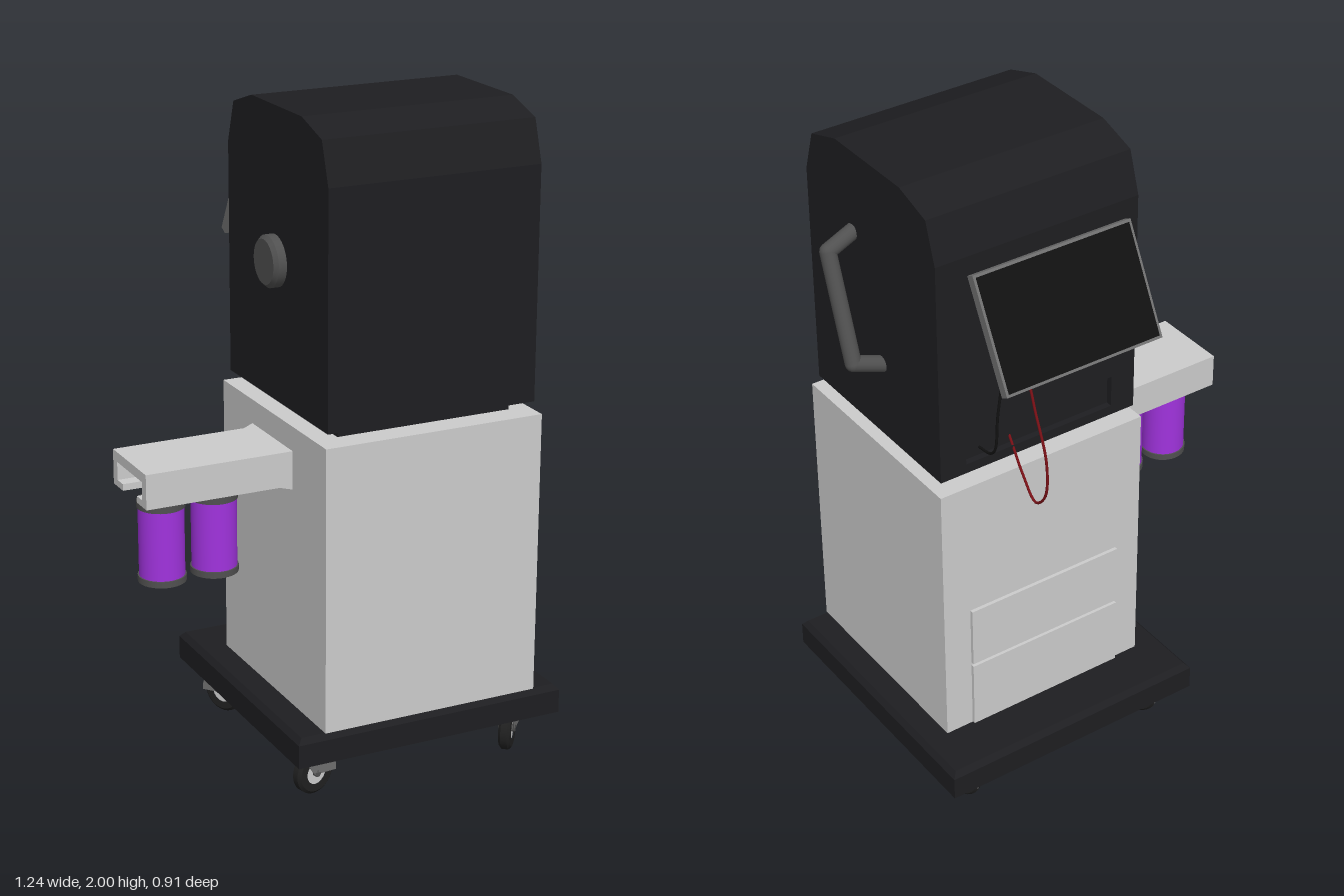
import * as THREE from 'three';

const mat = (color) => new THREE.MeshStandardMaterial({ color });
const BLACK = mat(0x1e1e21), SCREEN = mat(0x111111), DARK = mat(0x505050), FRAME = mat(0x707070);
const GREY = mat(0xcccccc), PURPLE = mat(0xa033dd), RED = mat(0x7a1016), TYRE = mat(0x202020);

function add(parent, name, geometry, material, x = 0, y = 0, z = 0) {
  const mesh = new THREE.Mesh(geometry, material);
  mesh.name = name;
  mesh.position.set(x, y, z);
  parent.add(mesh);
  return mesh;
}

// Box given by its limits on each axis
function block(parent, name, material, [x0, x1], [y0, y1], [z0, z1]) {
  return add(parent, name, new THREE.BoxGeometry(x1 - x0, y1 - y0, z1 - z0), material,
    (x0 + x1) / 2, (y0 + y1) / 2, (z0 + z1) / 2);
}

// Extrudes a (z, y) outline from x1 down to x0
function sideExtrude(parent, name, material, outline, x0, x1) {
  const shape = new THREE.Shape(outline.map(([z, y]) => new THREE.Vector2(z, y)));
  const geo = new THREE.ExtrudeGeometry(shape, { depth: x1 - x0, bevelEnabled: false });
  geo.rotateY(-Math.PI / 2);
  return add(parent, name, geo, material, x1, 0, 0);
}

// Box whose vertices are moved by a rule, with flat faces
function shapedBox(size, segments, rule) {
  const geo = new THREE.BoxGeometry(...size, ...segments).toNonIndexed();
  const p = geo.attributes.position, v = new THREE.Vector3();
  for (let i = 0; i < p.count; i++) {
    rule(v.fromBufferAttribute(p, i));
    p.setXYZ(i, v.x, v.y, v.z);
  }
  geo.computeVertexNormals();
  return geo;
}

// Lathe turned about y from (radius, height) points, with sharp edges
function turned(points, sides = 32) {
  const path = new THREE.CurvePath();
  const pts = points.map(([r, y]) => new THREE.Vector2(r, y));
  for (let i = 1; i < pts.length; i++) path.add(new THREE.LineCurve(pts[i - 1], pts[i]));
  const doubled = pts.flatMap((p, i) => (i && i < pts.length - 1 ? [p, p.clone().addScalar(1e-5)] : [p]));
  return new THREE.LatheGeometry(doubled, sides);
}

function cable(parent, name, material, points) {
  const curve = new THREE.CatmullRomCurve3(points.map((p) => new THREE.Vector3(...p)));
  add(parent, name, new THREE.TubeGeometry(curve, 60, 0.004, 8), material);
}

// Swivel caster, turned so its axle points along the given heading
function caster(parent, name, x, z, heading) {
  const g = new THREE.Group();
  g.name = name;
  g.position.set(x, 0, z);
  g.rotation.y = heading;
  const tyre = turned([[0.035, -0.018], [0.058, -0.018], [0.067, -0.01], [0.067, 0.01], [0.058, 0.018], [0.035, 0.018]]);
  tyre.rotateX(Math.PI / 2);
  add(g, 'tyre', tyre, TYRE, 0, 0.067, 0);
  const disc = (r, w) => new THREE.CylinderGeometry(r, r, w, 24).rotateX(Math.PI / 2);
  add(g, 'hub', disc(0.037, 0.028), GREY, 0, 0.067, 0);
  add(g, 'axle', disc(0.011, 0.05), DARK, 0, 0.067, 0);
  // fender: curved cover with a cheek on each side
  const cheek = new THREE.Shape();
  cheek.absarc(0, 0, 0.07, -0.1, 2.3, false);
  cheek.lineTo(-0.012, 0);
  for (const s of [-1, 1]) {
    add(g, 'forkCheek', new THREE.ExtrudeGeometry(cheek, { depth: 0.004, bevelEnabled: false, curveSegments: 16 }),
      FRAME, 0, 0.067, s * 0.023 - 0.002);
  }
  const cover = new THREE.CylinderGeometry(0.07, 0.07, 0.05, 16, 1, true, Math.PI / 2 - 0.1, 2.4);
  const top = add(g, 'fender', cover.rotateX(-Math.PI / 2).rotateZ(0), FRAME.clone(), 0, 0.067, 0);
  top.material.side = THREE.DoubleSide;
  top.geometry.dispose();
  top.geometry = new THREE.CylinderGeometry(0.07, 0.07, 0.05, 16, 1, true, Math.PI / 2 - 2.3 + Math.PI / 2 - Math.PI / 2, 2.4).rotateX(Math.PI / 2).rotateZ(0);
  // sweep the cover over the same arc as the cheeks
  const p = top.geometry.attributes.position, n = top.geometry.attributes.normal;
  for (let i = 0; i < p.count; i++) {
    const a = -0.1 + 2.4 * (i % 17) / 16;
    p.setXYZ(i, 0.07 * Math.cos(a), 0.07 * Math.sin(a), i < 17 ? 0.025 : -0.025);
    n.setXYZ(i, Math.cos(a), Math.sin(a), 0);
  }
  add(g, 'swivel', new THREE.CylinderGeometry(0.025, 0.025, 0.02, 20), DARK, 0, 0.135, 0);
  parent.add(g);
}

export function createModel() {
  const model = new THREE.Group();
  model.name = 'cabinetOnCasters';

  // Rolling base with a chamfered top edge
  const base = shapedBox([0.87, 0.09, 0.87], [1, 2, 1], (v) => {
    if (Math.abs(v.y) < 0.01) v.y = 0.028;
    else if (v.y > 0) { v.x *= 0.965; v.z *= 0.965; }
  });
  add(model, 'base', base, BLACK, 0.17, 0.185, 0.015);
  caster(model, 'frontRightCaster', -0.17, 0.345, 0.25);
  caster(model, 'frontLeftCaster', 0.49, 0.345, 0.87);
  caster(model, 'backRightCaster', -0.17, -0.28, 2.1);
  caster(model, 'backLeftCaster', 0.49, -0.28, 2.05);

  // Cabinet with two rear panels, and the neck under the hood
  block(model, 'cabinet', GREY, [-0.175, 0.52], [0.23, 1.1], [-0.255, 0.44]);
  block(model, 'lowerRearPanel', GREY, [-0.09, 0.43], [0.232, 0.452], [-0.266, -0.25]);
  block(model, 'upperRearPanel', GREY, [-0.09, 0.43], [0.462, 0.658], [-0.266, -0.25]);
  block(model, 'neck', BLACK, [-0.1, 0.455], [1.1, 1.14], [-0.19, 0.36]);

  // Hood: chamfered side outline; the middle section has a recess low at the back
  const outline = [[-0.235, 1.135], [0.42, 1.135], [0.42, 1.835], [0.38, 1.96], [0.255, 2],
    [-0.07, 2], [-0.195, 1.96], [-0.235, 1.835]];
  const recess = [[-0.235, 1.265], [-0.215, 1.265], [-0.215, 1.165], [-0.235, 1.165]];
  sideExtrude(model, 'hoodRight', BLACK, outline, -0.16, -0.08);
  sideExtrude(model, 'hoodMiddle', BLACK, [...outline, ...recess], -0.08, 0.42);
  sideExtrude(model, 'hoodLeft', BLACK, outline, 0.42, 0.505);

  // Slanted grab handle on the left side
  const grip = [[0.5, 1.745, 0.185], [0.592, 1.715, 0.172], [0.592, 1.405, 0.065], [0.5, 1.375, 0.055]]
    .map((p) => new THREE.Vector3(...p));
  const handle = new THREE.Group();
  handle.name = 'handle';
  for (let i = 0; i < 3; i++) {
    const dir = grip[i + 1].clone().sub(grip[i]);
    const bar = add(handle, 'handleBar', new THREE.CylinderGeometry(0.024, 0.024, dir.length(), 16), DARK);
    bar.position.copy(grip[i]).addScaledVector(dir, 0.5);
    bar.quaternion.setFromUnitVectors(new THREE.Vector3(0, 1, 0), dir.normalize());
    if (i) add(handle, 'handleElbow', new THREE.SphereGeometry(0.024, 16, 12), DARK, ...grip[i].toArray());
  }
  model.add(handle);

  // Round knob on the right side
  const knob = turned([[0.077, 0], [0.077, 0.025], [0.066, 0.037], [0, 0.037]]);
  add(model, 'knob', knob.rotateZ(Math.PI / 2), DARK, -0.16, 1.553, 0.083);

  // Side arm: channel open below, with lips, and a flared root
  const arm = [[-0.035, 0.915], [0.035, 0.915], [0.035, 0.935], [-0.005, 0.935], [-0.005, 0.99], [0.18, 0.99],
    [0.18, 0.935], [0.14, 0.935], [0.14, 0.915], [0.21, 0.915], [0.21, 1.02], [-0.035, 1.02]];
  sideExtrude(model, 'arm', GREY, arm, -0.622, -0.2);
  const root = shapedBox([0.035, 0.105, 0.245], [1, 1, 1], (v) => {
    if (v.x > 0) { v.y *= 1.12; v.z *= 1.12; }
  });
  add(model, 'armRoot', root, GREY, -0.1915, 0.9675, 0.0875);

  // Two canisters hanging from the arm
  for (const x of [-0.528, -0.363]) {
    const can = new THREE.Group();
    can.name = 'canister';
    can.position.set(x, 0, 0.0875);
    const drum = (name, r, y0, y1, m) =>
      add(can, name, new THREE.CylinderGeometry(r, r, y1 - y0, 32), m, 0, (y0 + y1) / 2, 0);
    drum('canisterBody', 0.067, 0.655, 0.88, PURPLE);
    drum('canisterBottomCap', 0.071, 0.645, 0.664, DARK);
    drum('canisterTopCap', 0.071, 0.873, 0.892, DARK);
    drum('canisterNeck', 0.04, 0.89, 0.94, DARK);
    model.add(can);
  }

  // Tilted monitor at the back on a short bracket
  block(model, 'monitorBracket', DARK, [0.08, 0.26], [1.578, 1.61], [-0.385, -0.23]);
  const monitor = new THREE.Group();
  monitor.name = 'monitor';
  monitor.position.set(0.172, 1.66, -0.365);
  monitor.rotation.x = 0.48;
  add(monitor, 'monitorFrame', new THREE.BoxGeometry(0.516, 0.34, 0.028), FRAME);
  add(monitor, 'monitorScreen', new THREE.BoxGeometry(0.5, 0.324, 0.004), SCREEN, 0, 0, -0.0135);
  model.add(monitor);

  // Cables from the monitor into the recess
  cable(model, 'redCable', RED, [[0.26, 1.585, -0.39], [0.26, 1.56, -0.34], [0.26, 1.48, -0.303], [0.26, 1.36, -0.335],
    [0.26, 1.2, -0.395], [0.26, 1.08, -0.39], [0.26, 1.03, -0.34], [0.26, 1.09, -0.28], [0.26, 1.19, -0.212]]);
  cable(model, 'blackCable', SCREEN, [[0.3, 1.57, -0.4], [0.31, 1.55, -0.34], [0.33, 1.48, -0.303],
    [0.355, 1.35, -0.3], [0.363, 1.23, -0.296], [0.363, 1.2, -0.27], [0.363, 1.19, -0.212]]);
  return model;
}
